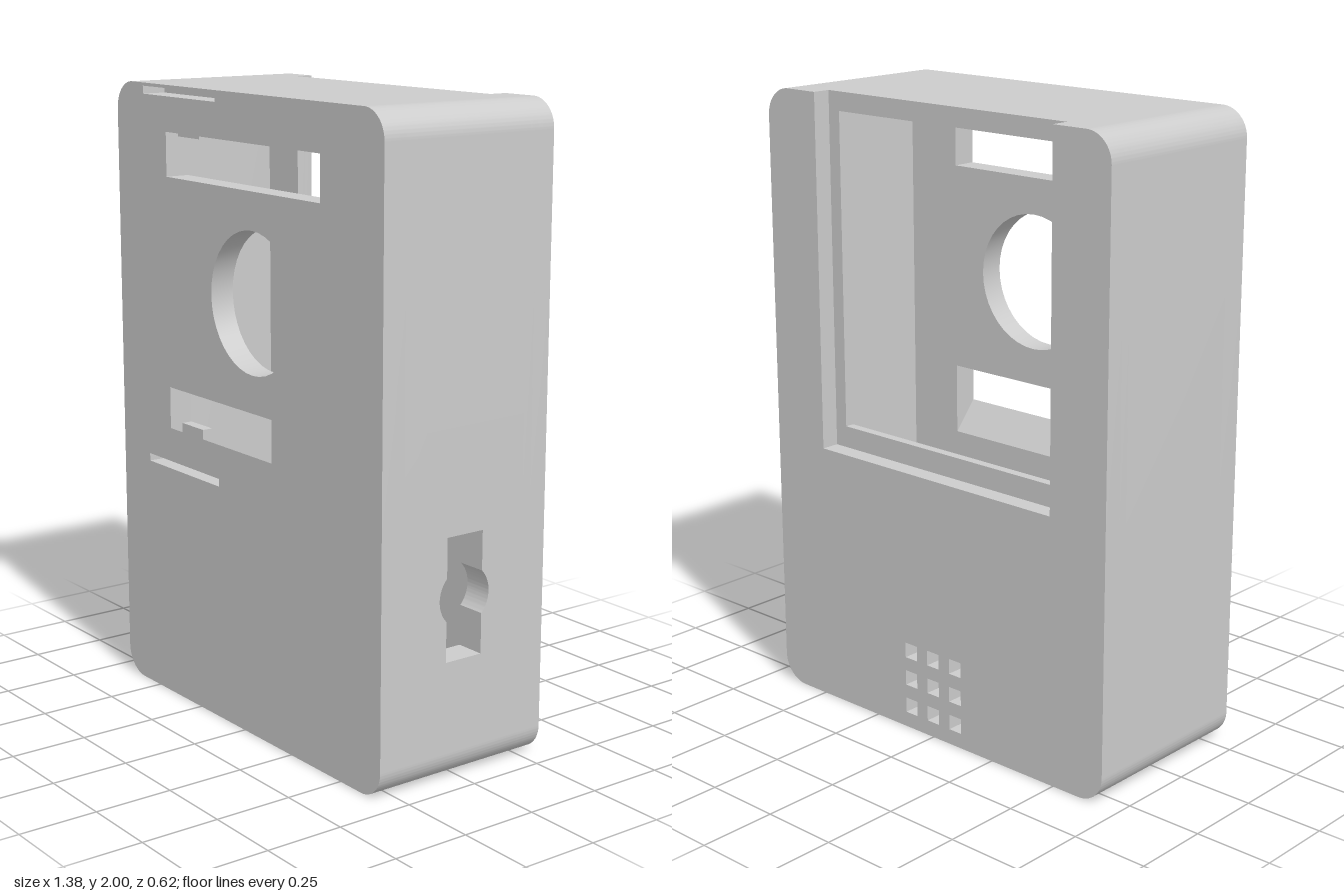
import * as THREE from 'three';
import { toCreasedNormals } from 'three/addons/utils/BufferGeometryUtils.js';

const W = 0.69, H = 2, R = 0.09;              // half width, height, corner radius
const Z = [-0.31, -0.25, -0.22, 0.23, 0.31];  // layer boundaries from back to front
const IN = 0.595, FLOOR = 0.05, CEIL = 1.955; // cavity limits

const poly = (points, Type = THREE.Shape) => new Type(points.map(([x, y]) => new THREE.Vector2(x, y)));
const rect = (x0, y0, x1, y1, Type = THREE.Path) => poly([[x0, y0], [x1, y0], [x1, y1], [x0, y1]], Type);
const circle = (x, y, r) => new THREE.Path().absarc(x, y, r, 0, Math.PI * 2);

// Rounded case outline, optionally with a notch cut down from the top edge
function outline(notchX, notchY) {
  const s = new THREE.Shape();
  s.moveTo(-W + R, 0);
  s.lineTo(W - R, 0);
  s.absarc(W - R, R, R, -Math.PI / 2, 0);
  s.lineTo(W, H - R);
  s.absarc(W - R, H - R, R, 0, Math.PI / 2);
  if (notchX) {
    s.lineTo(notchX, H);
    s.lineTo(notchX, notchY);
    s.lineTo(-notchX, notchY);
    s.lineTo(-notchX, H);
  }
  s.lineTo(-W + R, H);
  s.absarc(-W + R, H - R, R, Math.PI / 2, Math.PI);
  s.lineTo(-W, R);
  s.absarc(-W + R, R, R, Math.PI, Math.PI * 1.5);
  return s;
}

export function createModel() {
  const group = new THREE.Group();
  const material = new THREE.MeshStandardMaterial({ color: 0xcccccc });

  const add = (name, geometry) => {
    const mesh = new THREE.Mesh(toCreasedNormals(geometry, 0.6), material);
    mesh.name = name;
    group.add(mesh);
  };
  const extrude = (shape, depth) =>
    new THREE.ExtrudeGeometry(shape, { depth, bevelEnabled: false, curveSegments: 20 });
  const layer = (name, shape, z0, z1) => add(name, extrude(shape, z1 - z0).translate(0, 0, z0));
  // Profile drawn in (z, y), extruded from x0 to x1
  const alongX = (name, shape, x0, x1) =>
    add(name, extrude(shape, x1 - x0).rotateY(-Math.PI / 2).translate(x1, 0, 0));

  // 3 x 3 grid of square vents
  const vents = () => {
    const holes = [];
    for (let i = -1; i <= 1; i++) {
      for (let j = 0; j < 3; j++) {
        const x = i * 0.095, y = 0.075 + j * 0.095;
        holes.push(rect(x - 0.025, y - 0.025, x + 0.025, y + 0.025));
      }
    }
    return holes;
  };

  // Back wall: outer layer with the cover recess, inner layer with the window
  const back = outline(0.48, 0.86);
  back.holes.push(...vents());
  layer('backFrame', back, Z[0], Z[1]);
  const lip = outline();
  lip.holes.push(rect(-0.435, 0.93, 0.435, 1.94), ...vents());
  layer('backLip', lip, Z[1], Z[2]);

  // Side walls, leaving gaps for the two panels with cutouts
  const SX0 = -0.3, SX1 = 0.45, SY0 = 0.25, SY1 = 0.9;
  const corner = new THREE.Shape();
  corner.moveTo(SX1, 0);
  corner.lineTo(W - R, 0);
  corner.absarc(W - R, R, R, -Math.PI / 2, 0);
  corner.lineTo(W, SY0);
  corner.lineTo(IN, SY0);
  corner.lineTo(IN, FLOOR);
  corner.lineTo(SX1, FLOOR);
  layer('lowerCornerWall', corner, Z[2], Z[3]);

  const wall = new THREE.Shape();
  wall.moveTo(W, SY1);
  wall.lineTo(W, H - R);
  wall.absarc(W - R, H - R, R, 0, Math.PI / 2);
  wall.lineTo(-W + R, H);
  wall.absarc(-W + R, H - R, R, Math.PI / 2, Math.PI);
  wall.lineTo(-W, R);
  wall.absarc(-W + R, R, R, Math.PI, Math.PI * 1.5);
  for (const [x, y] of [[SX0, 0], [SX0, FLOOR], [-IN, FLOOR], [-IN, CEIL], [IN, CEIL], [IN, SY1]]) wall.lineTo(x, y);
  layer('outerWall', wall, Z[2], Z[3]);

  // Left side panel with a slot widened by a round middle
  const side = rect(Z[2], SY0, Z[3], SY1, THREE.Shape);
  const slot = new THREE.Path();
  const cy = 0.568, r = 0.094, hw = 0.067, a = Math.acos(hw / r);
  slot.moveTo(-hw, 0.376);
  slot.lineTo(hw, 0.376);
  slot.absarc(0, cy, r, -a, a);
  slot.lineTo(hw, 0.758);
  slot.lineTo(-hw, 0.758);
  slot.absarc(0, cy, r, Math.PI - a, Math.PI + a);
  side.holes.push(slot);
  alongX('sidePanel', side, IN, W);

  // Bottom panel with a port and a pinhole, drawn in (x, z)
  const bottom = rect(SX0, Z[2], SX1, Z[3], THREE.Shape);
  bottom.holes.push(rect(-0.09, -0.16, 0.17, -0.06), circle(0.295, -0.11, 0.02));
  add('bottomPanel', extrude(bottom, FLOOR).rotateX(Math.PI / 2).translate(0, FLOOR, 0));

  // Front panel with lens opening, two long openings and two thin slits
  const X0 = -0.405, X1 = 0.4;
  const front = outline();
  front.holes.push(
    circle(0.06, 1.378, 0.22),
    rect(X0, 1.715, X1, 1.95), rect(X0, 0.81, X1, 1.04),
    rect(-0.535, 1.965, -0.13, 1.99), rect(-0.535, 0.77, -0.13, 0.795));
  layer('frontPanel', front, Z[3], Z[4]);

  // Sloped edges of the long openings, flush with the front
  alongX('upperSlope', poly([[Z[4], 1.855], [Z[4], 1.95], [Z[3], 1.95]]), X0, X1);
  alongX('lowerSlope', poly([[Z[4], 0.905], [Z[3], 0.81], [Z[4], 0.81]]), X0, X1);

  // Small retaining tabs on the slopes
  alongX('upperTab', rect(0.24, 1.84, 0.275, 1.9, THREE.Shape), -0.39, -0.27);
  alongX('lowerTab', rect(0.24, 0.86, 0.275, 0.92, THREE.Shape), -0.39, -0.27);

  return group;
}
